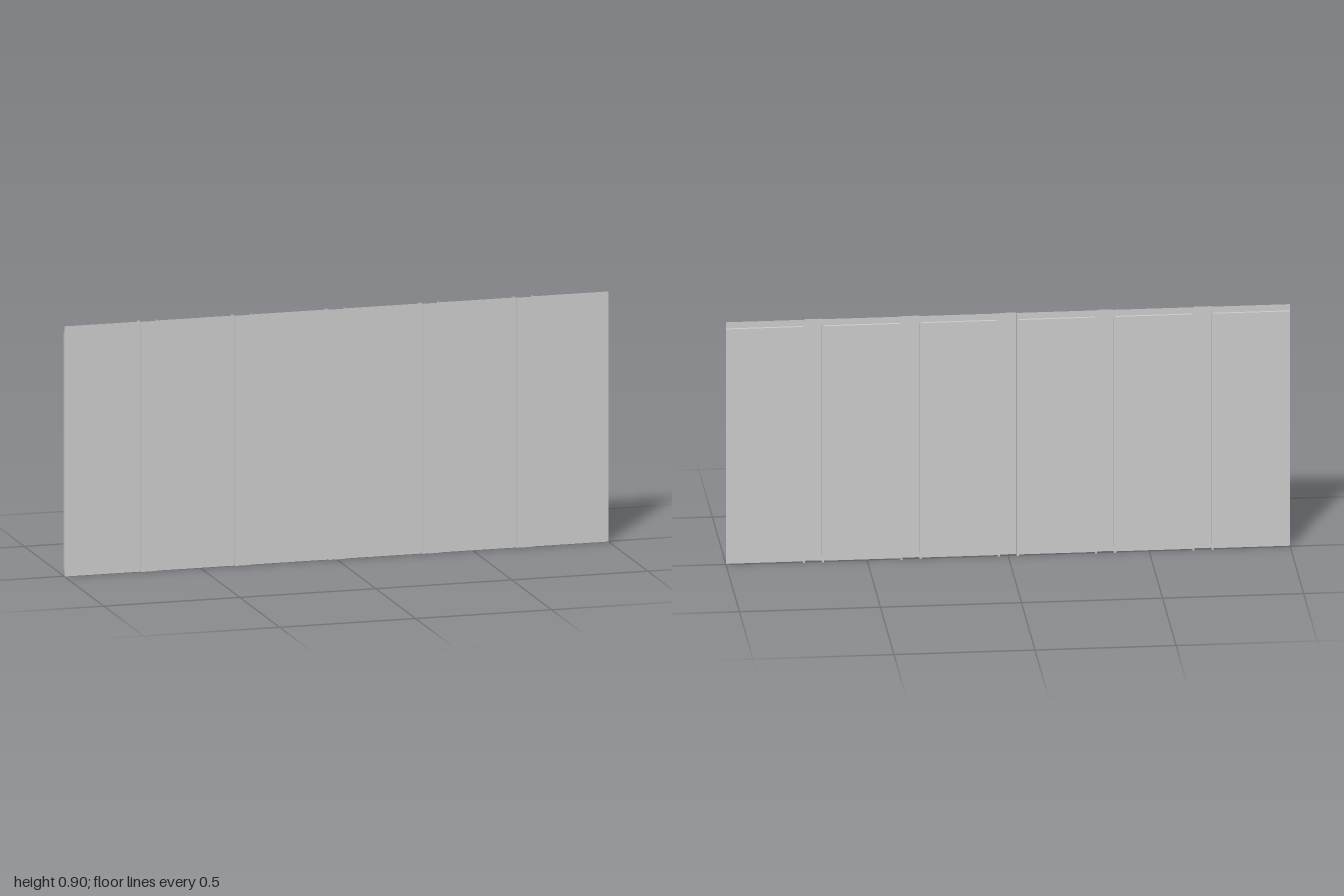
import * as THREE from 'three';

const H = 0.905;        // wall height
const INSET = 0.023;    // core stops short of top and bottom
const CORE = 0.005;     // half depth of the core
const DEPTH = 0.011;    // half depth of the joint strips
const PITCH = 0.345;    // distance between joints
const STRIP = 0.03;     // half width of a joint strip
const GAP = 0.0375;     // half width of the gap between cores

const solid = new THREE.MeshStandardMaterial({ color: 0xcccccc, flatShading: true });
const sheet = new THREE.MeshStandardMaterial({ color: 0xcccccc, flatShading: true, side: THREE.DoubleSide });

function add(parent, name, geometry, material, x, y, z) {
  const mesh = new THREE.Mesh(geometry, material);
  mesh.name = name;
  mesh.position.set(x, y, z);
  parent.add(mesh);
  return mesh;
}

// Panel: a recessed core behind a thin full-height facing
function panel(x0, x1, isFirst, isLast) {
  const g = new THREE.Group();
  g.name = 'panel';
  const c0 = isFirst ? x0 : x0 + GAP, c1 = isLast ? x1 : x1 - GAP;
  add(g, 'core', new THREE.BoxGeometry(c1 - c0, H - 2 * INSET, 2 * CORE), solid, (c0 + c1) / 2, H / 2, 0);
  const f0 = isFirst ? x0 : x0 + STRIP, f1 = isLast ? x1 : x1 - STRIP;
  add(g, 'facing', new THREE.PlaneGeometry(f1 - f0, H), sheet, (f0 + f1) / 2, H / 2, CORE + 0.0005);
  return g;
}

// Joint strip: folded channel, open to the back, legs notched at both ends
function jointStrip(x) {
  const g = new THREE.Group();
  g.name = 'jointStrip';
  g.position.x = x;
  add(g, 'web', new THREE.PlaneGeometry(2 * STRIP, H), sheet, 0, H / 2, DEPTH);
  const legs = [
    ['frontFold', CORE, DEPTH, H],
    ['leg', -CORE, CORE, H - 2 * INSET],
    ['backRib', -DEPTH, -CORE, H],
  ];
  for (const side of [-1, 1]) {
    for (const [name, z0, z1, h] of legs) {
      const leg = add(g, name, new THREE.PlaneGeometry(z1 - z0, h), sheet, side * STRIP, H / 2, (z0 + z1) / 2);
      leg.rotation.y = side * Math.PI / 2;
    }
    // narrow return along the back edge
    add(g, 'backReturn', new THREE.PlaneGeometry(GAP - STRIP, H), sheet, side * (STRIP + GAP) / 2, H / 2, -DEPTH);
  }
  return g;
}

export function createModel() {
  const model = new THREE.Group();
  model.name = 'panelWall';
  const joints = [-2, -1, 0, 1, 2].map(i => i * PITCH);
  const stops = [-1, ...joints, 1];
  for (let i = 0; i < 6; i++) model.add(panel(stops[i], stops[i + 1], i === 0, i === 5));
  for (const x of joints) model.add(jointStrip(x));
  return model;
}
